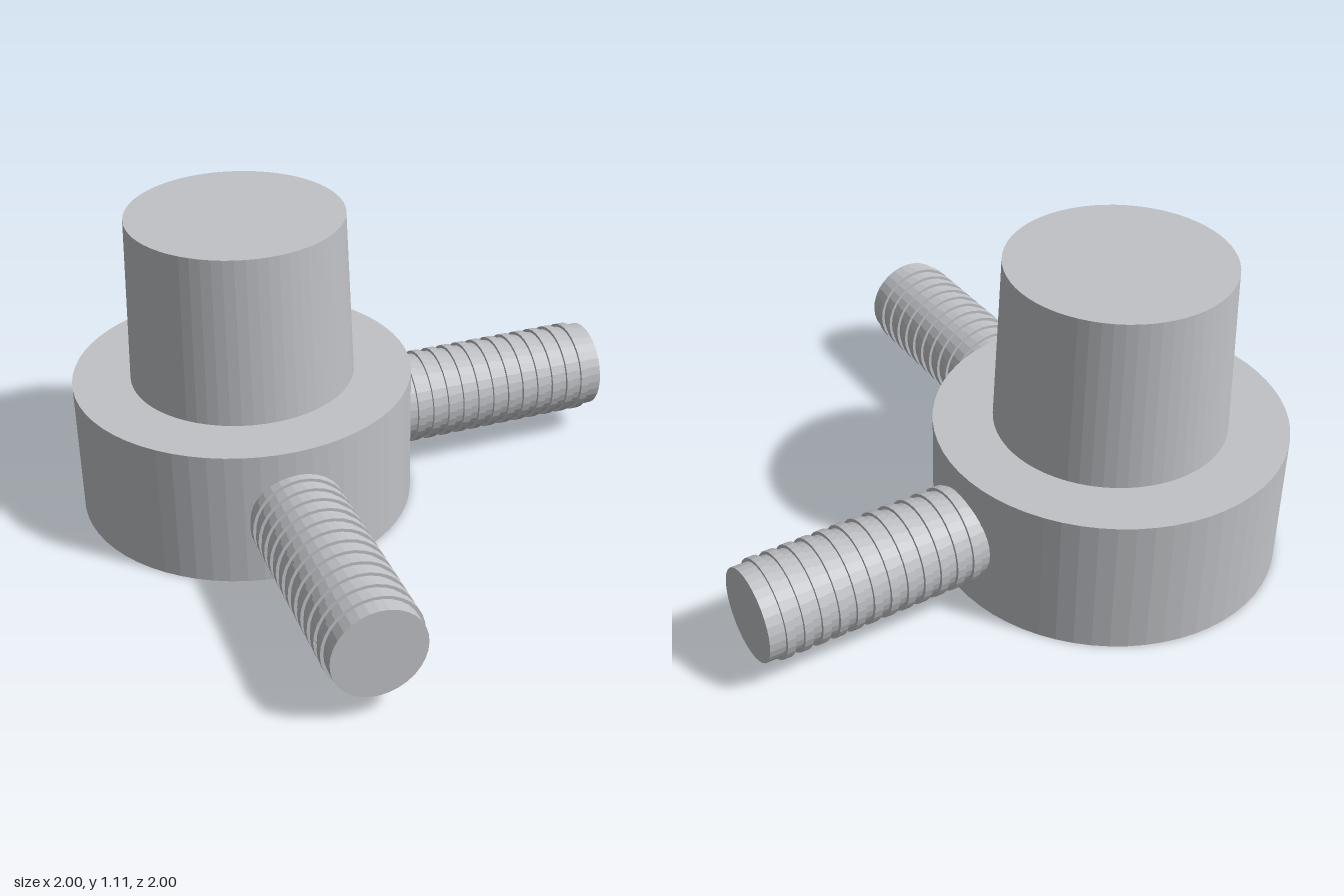
import * as THREE from 'three';

const CENTRE = -0.39; // the round body sits off-centre on both x and z
const PIPE_Y = 0.248;

// Ribbed pipe pointing along +y, from inside the body to its capped end
function ribbedPipeGeometry() {
  const core = 0.16, rib = 0.171, halfWidth = 0.015;
  const points = [new THREE.Vector2(0, 0.55), new THREE.Vector2(core, 0.55)];
  for (let i = 0; i < 12; i++) {
    const y = 0.64 + i * 0.0618;
    points.push(
      new THREE.Vector2(core, y - halfWidth),
      new THREE.Vector2(rib, y - halfWidth),
      new THREE.Vector2(rib, y + halfWidth),
      new THREE.Vector2(core, y + halfWidth)
    );
  }
  points.push(new THREE.Vector2(core, 1.39), new THREE.Vector2(0, 1.39));
  return new THREE.LatheGeometry(points, 32);
}

export function createModel() {
  const group = new THREE.Group();
  const grey = new THREE.MeshStandardMaterial({ color: 0xc0c2c6, flatShading: true });
  grey.name = 'light grey';

  const add = (name, geometry, y) => {
    const mesh = new THREE.Mesh(geometry, grey);
    mesh.name = name;
    mesh.position.set(CENTRE, y, CENTRE);
    group.add(mesh);
    return mesh;
  };

  // Wide round base and the tapered plug standing on it
  add('base', new THREE.CylinderGeometry(0.61, 0.61, 0.5, 64), 0.25);
  add('taperedPlug', new THREE.CylinderGeometry(0.383, 0.403, 0.61, 64), 0.805);

  // Two hose connectors at right angles
  const pipe = ribbedPipeGeometry();
  add('leftPipe', pipe, PIPE_Y).rotation.z = -Math.PI / 2;
  add('frontPipe', pipe, PIPE_Y).rotation.x = Math.PI / 2;

  return group;
}
